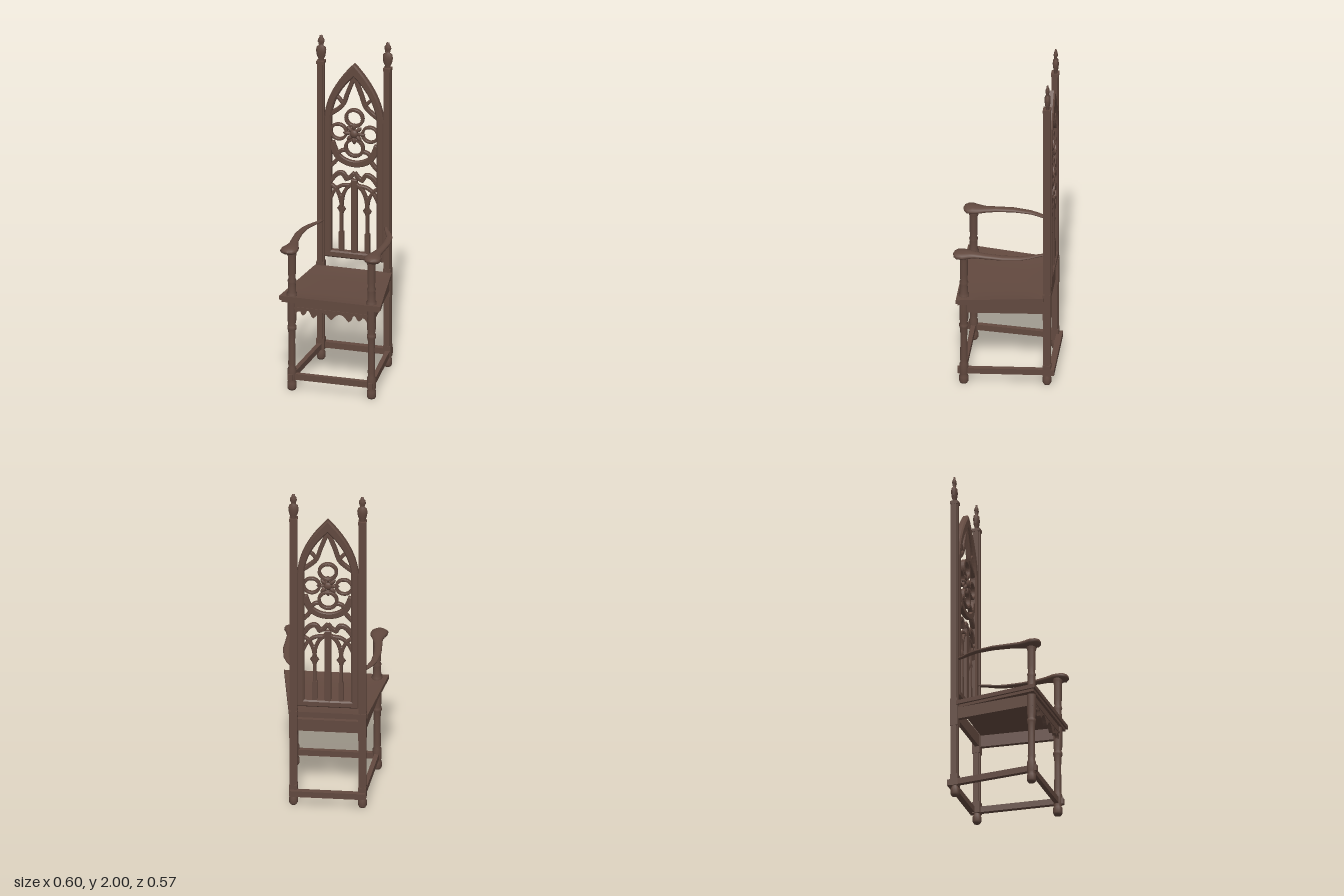
import * as THREE from 'three';

export function createModel() {
  const chair = new THREE.Group();
  chair.name = 'gothicArmchair';
  const wood = new THREE.MeshStandardMaterial({ color: 0x62493f });
  wood.name = 'darkWood';

  const add = (name, geometry, x = 0, y = 0, z = 0) => {
    const mesh = new THREE.Mesh(geometry, wood);
    mesh.name = name;
    mesh.position.set(x, y, z);
    chair.add(mesh);
    return mesh;
  };
  const v2 = (p) => new THREE.Vector2(p[0], p[1]);
  const lathe = (profile, sides) => new THREE.LatheGeometry(profile.map(v2), sides);
  const plate = (shape, depth, bevel = 0) => {
    const g = new THREE.ExtrudeGeometry(shape, {
      depth: depth - 2 * bevel, bevelEnabled: bevel > 0, bevelSize: bevel,
      bevelOffset: -bevel, bevelThickness: bevel, bevelSegments: 1, curveSegments: 14,
    });
    return g.translate(0, 0, -depth / 2 + bevel);
  };
  // Horizontal beam between two floor-plan points
  const beam = (name, [x1, z1], [x2, z2], y, w, h) => {
    const m = add(name, new THREE.BoxGeometry(w, h, Math.hypot(x2 - x1, z2 - z1)), (x1 + x2) / 2, y, (z1 + z2) / 2);
    m.rotation.y = Math.atan2(x2 - x1, z2 - z1);
  };
  // Curved flat rib following a line of points
  const rib = (name, points, width, depth = 0.026) => {
    const curve = new THREE.SplineCurve(points.map(v2));
    const n = points.length * 4, a = [], b = [];
    for (let i = 0; i <= n; i++) {
      const p = curve.getPoint(i / n), t = curve.getTangent(i / n);
      const side = new THREE.Vector2(-t.y, t.x).multiplyScalar(width / 2);
      a.push(p.clone().add(side));
      b.unshift(p.clone().sub(side));
    }
    add(name, plate(new THREE.Shape([...a, ...b]), depth, 0.004), 0, 0, -0.25);
  };
  const mirrorRib = (name, points, width) => {
    for (const s of [-1, 1]) rib(name, points.map(([x, y]) => [x * s, y]), width);
  };

  // Back posts: square section with stepped corners
  const c = 0.021, k = 0.013;
  const section = new THREE.Shape([[c, -k], [c, k], [k, k], [k, c], [-k, c], [-k, k], [-c, k], [-c, -k],
    [-k, -k], [-k, -c], [k, -c], [k, -k]].map(v2));
  const frontLeg = lathe([[0, 0], [0.021, 0], [0.027, 0.012], [0.027, 0.042], [0.02, 0.056], [0.026, 0.062],
    [0.026, 0.125], [0.02, 0.135], [0.022, 0.16], [0.019, 0.3], [0.022, 0.365], [0.027, 0.375], [0.027, 0.39],
    [0.021, 0.4], [0.026, 0.43], [0.026, 0.55]], 12);
  const armPost = lathe([[0.031, 0.575], [0.031, 0.592], [0.024, 0.603], [0.022, 0.66], [0.026, 0.672],
    [0.02, 0.685], [0.023, 0.72], [0.023, 0.82], [0.028, 0.835], [0.028, 0.86]], 12);
  const backFoot = lathe([[0, 0], [0.018, 0], [0.025, 0.012], [0.025, 0.042], [0.018, 0.058], [0.018, 0.07]], 12);
  const finial = lathe([[0.017, 1.84], [0.017, 1.855], [0.024, 1.87], [0.03, 1.9], [0.027, 1.925], [0.014, 1.935],
    [0.013, 1.945], [0.021, 1.96], [0.018, 1.975], [0.011, 1.985], [0.009, 1.997], [0, 2]], 10);
  finial.scale(1, 1, 0.6);

  // Armrest stations: z, inner x, outer x, bottom y, top y
  const stations = [[-0.24, 0.177, 0.2, 0.852, 0.866], [-0.2, 0.19, 0.216, 0.852, 0.867],
    [-0.15, 0.212, 0.248, 0.852, 0.868], [-0.1, 0.23, 0.267, 0.852, 0.87], [0, 0.238, 0.282, 0.852, 0.874],
    [0.1, 0.231, 0.277, 0.85, 0.877], [0.16, 0.216, 0.274, 0.848, 0.88], [0.2, 0.2, 0.285, 0.844, 0.884],
    [0.23, 0.196, 0.297, 0.842, 0.886], [0.26, 0.2, 0.296, 0.842, 0.884], [0.278, 0.219, 0.278, 0.85, 0.878],
    [0.285, 0.245, 0.25, 0.862, 0.866]];
  const armrest = (s) => {
    const n = 12, pos = [], idx = [];
    for (const [z, x0, x1, y0, y1] of stations) {
      for (let j = 0; j < n; j++) {
        const a = (j / n) * Math.PI * 2;
        pos.push(s * ((x0 + x1) / 2 + Math.cos(a) * (x1 - x0) / 2), (y0 + y1) / 2 + Math.sin(a) * (y1 - y0) / 2, z);
      }
    }
    for (let i = 0; i < stations.length - 1; i++) {
      for (let j = 0; j < n; j++) {
        const p = i * n + j, q = i * n + (j + 1) % n;
        if (s > 0) idx.push(p, q, q + n, p, q + n, p + n);
        else idx.push(p, q + n, q, p, p + n, q + n);
      }
    }
    const last = (stations.length - 1) * n;
    for (let j = 1; j < n - 1; j++) {
      if (s > 0) idx.push(last, last + j, last + j + 1, 0, j + 1, j);
      else idx.push(last, last + j + 1, last + j, 0, j, j + 1);
    }
    const g = new THREE.BufferGeometry();
    g.setAttribute('position', new THREE.Float32BufferAttribute(pos, 3));
    g.setIndex(idx);
    g.computeVertexNormals();
    return g;
  };

  for (const s of [-1, 1]) {
    const x = 0.197 * s;
    add('backPost', plate(section, 1.77).rotateX(-Math.PI / 2), x, 0.945, -0.247);
    add('backFoot', backFoot, x, 0, -0.247);
    for (const [y, h] of [[0.095, 0.07], [0.52, 0.17], [1.835, 0.018]]) {
      add('postBlock', new THREE.BoxGeometry(0.045, h, 0.045), x, y, -0.247);
    }
    add('finial', finial, x, 0, -0.25);
    // Finial leaves
    for (const [y, r] of [[1.895, 0.024], [1.96, 0.013]]) {
      for (const d of [-1, 1]) {
        const leaf = add('finialLeaf', new THREE.ConeGeometry(0.009, 0.036, 5), x + d * r, y, -0.25);
        leaf.rotation.z = -d * 0.35;
      }
    }
    add('frontLeg', frontLeg, 0.235 * s, 0, 0.225);
    add('armPost', armPost, 0.235 * s, 0, 0.225);
    add('armrest', armrest(s));
    beam('sideApron', [0.24 * s, 0.235], [0.2 * s, -0.235], 0.512, 0.024, 0.074);
    beam('sideStretcher', [0.238 * s, 0.26], [0.197 * s, -0.285], 0.083, 0.026, 0.036);
  }
  beam('frontStretcher', [-0.235, 0.225], [0.235, 0.225], 0.083, 0.026, 0.036);
  beam('backStretcher', [-0.215, -0.272], [0.215, -0.272], 0.083, 0.034, 0.036);
  beam('backApron', [-0.2, -0.24], [0.2, -0.24], 0.512, 0.024, 0.074);

  // Dished seat, narrowing to the back
  const seat = (w, h, overhang, dip) => {
    const g = new THREE.BoxGeometry(2, h, 2, 12, 1, 12), p = g.attributes.position;
    for (let i = 0; i < p.count; i++) {
      const u = p.getX(i), v = p.getZ(i), y = p.getY(i);
      const half = w - 0.0375 + 0.0375 * v;
      const drop = y > 0 ? dip * (1 - u ** 4) * (1 - v ** 4) : 0;
      p.setXYZ(i, u * half, y - drop, 0.0165 + v * (0.2475 - overhang));
    }
    g.computeVertexNormals();
    return g;
  };
  add('seat', seat(0.3, 0.024, 0, 0.012), 0, 0.573, 0);
  add('seatMoulding', seat(0.288, 0.018, 0.01, 0), 0, 0.554, 0);

  // Scalloped front apron
  const apron = new THREE.Shape();
  apron.moveTo(-0.258, 0.547);
  apron.lineTo(-0.258, 0.47);
  apron.lineTo(-0.21, 0.47);
  apron.quadraticCurveTo(-0.2, 0.495, -0.18, 0.49);
  const drops = [-0.165, -0.105, 0, 0.105, 0.165];
  drops.forEach((x, i) => {
    const y = i % 4 ? 0.468 : 0.478;
    apron.lineTo(x - 0.012, y);
    apron.lineTo(x, y - 0.01);
    apron.lineTo(x + 0.012, y);
    if (i < 4) apron.quadraticCurveTo((x + drops[i + 1]) / 2, 0.525, drops[i + 1] - 0.012, i === 3 ? 0.478 : 0.468);
  });
  apron.lineTo(0.18, 0.49);
  apron.quadraticCurveTo(0.2, 0.495, 0.21, 0.47);
  apron.lineTo(0.258, 0.47);
  apron.lineTo(0.258, 0.547);
  add('frontApron', plate(apron, 0.022), 0, 0, 0.228);
  add('apronBand', new THREE.BoxGeometry(0.5, 0.014, 0.03), 0, 0.51, 0.228);

  // Pointed back frame
  const arch = (P, w, base, spring, cx, cy, apex) => {
    const p = new P();
    p.moveTo(-w, base);
    p.lineTo(w, base);
    p.lineTo(w, spring);
    p.quadraticCurveTo(cx, cy, 0, apex);
    p.quadraticCurveTo(-cx, cy, -w, spring);
    p.lineTo(-w, base);
    return p;
  };
  const frame = arch(THREE.Shape, 0.176, 0.64, 1.5, 0.16, 1.68, 1.845);
  frame.holes.push(arch(THREE.Path, 0.134, 0.682, 1.5, 0.125, 1.64, 1.765));
  add('backFrame', plate(frame, 0.042, 0.008), 0, 0, -0.25);

  // Upper tracery: pointed arms, rings and crescent
  mirrorRib('archArm', [[0, 1.765], [-0.04, 1.66], [-0.07, 1.58], [-0.14, 1.52]], 0.024);
  mirrorRib('archCusp', [[-0.125, 1.635], [-0.095, 1.625], [-0.066, 1.59]], 0.018);
  const ring = (name, x, y, r, w) => {
    const shape = new THREE.Shape().absarc(x, y, r + w, 0, Math.PI * 2);
    shape.holes.push(new THREE.Path().absarc(x, y, r, 0, Math.PI * 2, true));
    add(name, plate(shape, 0.026, 0.003), 0, 0, -0.25);
  };
  ring('topRing', 0, 1.508, 0.04, 0.018);
  ring('bottomRing', 0, 1.325, 0.042, 0.018);
  for (const s of [-1, 1]) ring('sideRing', 0.093 * s, 1.415, 0.038, 0.015);
  rib('crescent', [[-0.135, 1.35], [-0.105, 1.275], [-0.06, 1.238], [0, 1.225], [0.06, 1.238], [0.105, 1.275], [0.135, 1.35]], 0.036);
  mirrorRib('crescentCusp', [[-0.1, 1.275], [-0.075, 1.3], [-0.045, 1.305]], 0.02);

  // Rosette: crossed petals around a boss
  for (let i = 0; i < 8; i++) {
    const a = (i * Math.PI) / 4;
    const r = i % 2 ? 0.036 : 0.042;
    const petal = add('rosettePetal', new THREE.SphereGeometry(1, 8, 6), Math.cos(a) * r, 1.413 + Math.sin(a) * r, -0.244);
    petal.scale.set(0.024, 0.012, 0.013);
    petal.rotation.z = a;
  }
  const boss = add('rosetteBoss', new THREE.SphereGeometry(0.026, 10, 8), 0, 1.413, -0.242);
  boss.scale.z = 0.7;

  // Lower tracery: mullions, lancets and zigzag cusps
  rib('centreMullion', [[0, 0.67], [0, 0.9], [0, 1.13]], 0.036, 0.03);
  const collar = lathe([[0.008, -0.045], [0.014, -0.02], [0.027, 0], [0.014, 0.02], [0.008, 0.05]], 8);
  for (const s of [-1, 1]) {
    rib('sideMullion', [[0.076 * s, 0.67], [0.076 * s, 0.85], [0.076 * s, 1.03]], 0.018);
    add('mullionCollar', collar, 0.076 * s, 0.94, -0.25).scale.z = 0.6;
    add('mullionBase', new THREE.BoxGeometry(0.028, 0.12, 0.026), 0.076 * s, 0.74, -0.25);
  }
  mirrorRib('outerLancet', [[-0.076, 0.96], [-0.085, 1.01], [-0.108, 1.06], [-0.14, 1.085]], 0.018);
  mirrorRib('innerLancet', [[-0.076, 0.96], [-0.068, 1.02], [-0.045, 1.07], [0, 1.11]], 0.02);
  mirrorRib('lancetHead', [[-0.14, 1.0], [-0.115, 1.05], [-0.07, 1.085], [0, 1.09]], 0.018);
  mirrorRib('zigzagOuter', [[-0.14, 1.105], [-0.105, 1.15], [-0.07, 1.16], [-0.045, 1.125]], 0.026);
  mirrorRib('zigzagInner', [[-0.055, 1.125], [-0.025, 1.14], [0, 1.17]], 0.024);
  mirrorRib('crescentTie', [[-0.14, 1.2], [-0.115, 1.225], [-0.09, 1.26]], 0.022);
  return chair;
}
